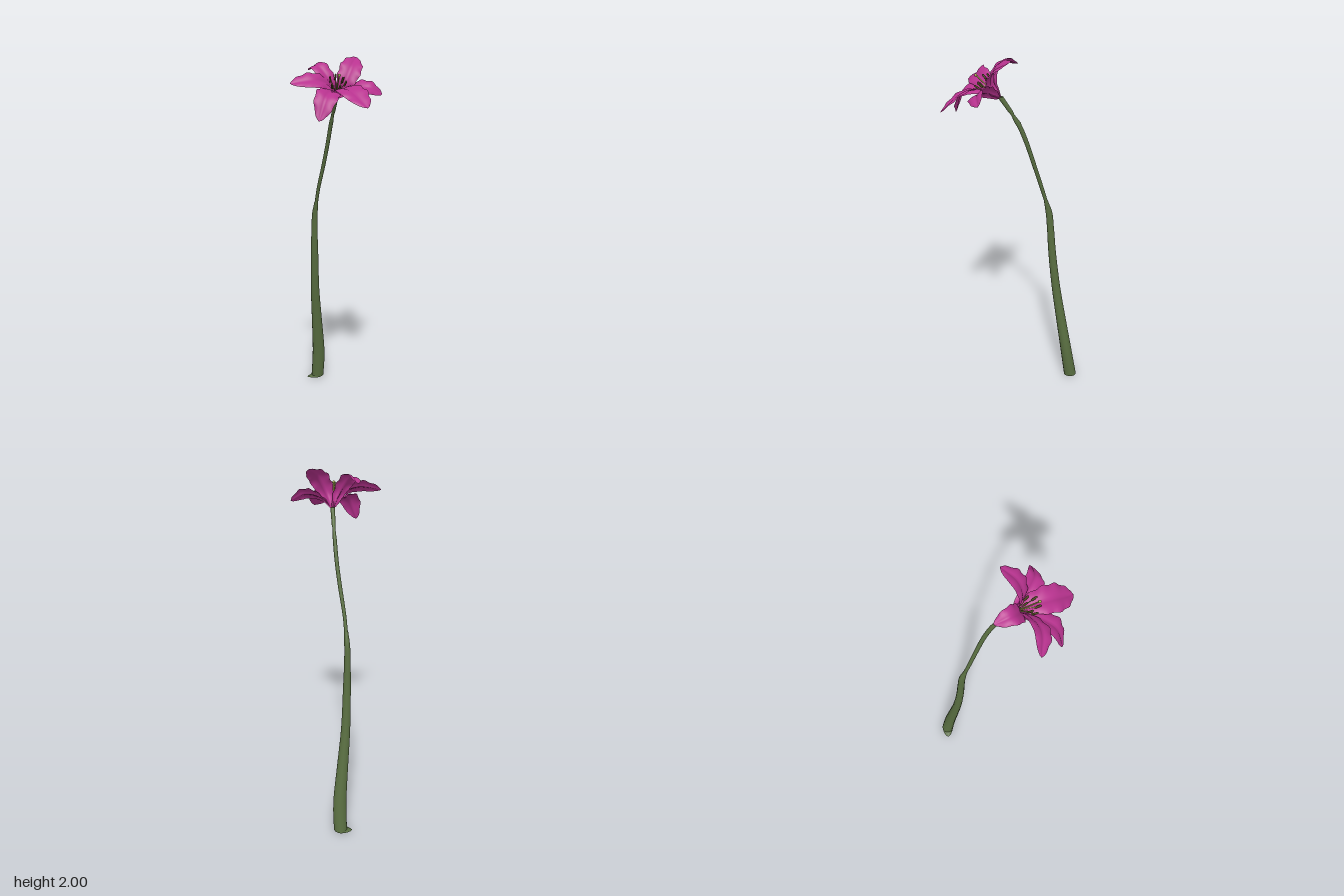
import * as THREE from 'three';

const V = (x, y, z) => new THREE.Vector3(x, y, z);

// Smooth surface from a rule f(u, v) -> Vector3; wrap closes it around v
function surface(nu, nv, f, wrap = false) {
  const cols = wrap ? nv : nv + 1, pos = [], idx = [];
  for (let i = 0; i <= nu; i++)
    for (let j = 0; j < cols; j++) pos.push(...f(i / nu, j / nv).toArray());
  for (let i = 0; i < nu; i++)
    for (let j = 0; j < nv; j++) {
      const k = (j + 1) % cols;
      const a = i * cols + j, b = i * cols + k, c = a + cols, d = b + cols;
      idx.push(a, c, b, b, c, d);
    }
  const g = new THREE.BufferGeometry();
  g.setAttribute('position', new THREE.Float32BufferAttribute(pos, 3));
  g.setIndex(idx);
  g.computeVertexNormals();
  return g;
}

export function createModel() {
  const group = new THREE.Group();
  group.name = 'lilyFlower';
  const mat = (name, color, side = THREE.FrontSide) => {
    const m = new THREE.MeshStandardMaterial({ color, side });
    m.name = name;
    return m;
  };
  const green = mat('stemGreen', 0x586d40, THREE.DoubleSide);
  const pink = mat('petalMagenta', 0xb8338f, THREE.DoubleSide);
  const lime = mat('styleYellowGreen', 0x9ca64a);
  const brown = mat('antherBrown', 0x4e4722);
  const add = (name, geo, material, parent = group) => {
    const m = new THREE.Mesh(geo, material);
    m.name = name;
    parent.add(m);
    return m;
  };

  // Lofted stem: each ring is x, y, z, half width, half depth
  const loft = (rings, steps) => {
    const path = new THREE.CatmullRomCurve3(rings.map(r => V(r[0], r[1], r[2])));
    const size = new THREE.CatmullRomCurve3(rings.map(r => V(r[3], r[4], 0)));
    return surface(steps, 14, (u, v) => {
      const p = path.getPoint(u), s = size.getPoint(u), a = v * Math.PI * 2;
      return V(p.x + Math.cos(a) * s.x, p.y, p.z + Math.sin(a) * s.y);
    }, true);
  };
  add('lowerStem', loft([
    [0.087, 0.012, -0.347, 0.038, 0.037],
    [0.087, 0.1, -0.332, 0.039, 0.035],
    [0.083, 0.2, -0.316, 0.038, 0.033],
    [0.061, 0.4, -0.285, 0.032, 0.029],
    [0.037, 0.62, -0.253, 0.026, 0.025],
    [0.025, 0.85, -0.227, 0.022, 0.022],
    [0.02, 1.0, -0.215, 0.018, 0.02],
    [0.019, 1.1, -0.204, 0.016, 0.019],
    [0.021, 1.175, -0.184, 0.011, 0.011],
  ], 40), green);
  add('upperStem', loft([
    [0.021, 1.14, -0.194, 0.01, 0.01],
    [0.024, 1.25, -0.16, 0.01, 0.011],
    [0.038, 1.4, -0.11, 0.011, 0.012],
    [0.047, 1.53, -0.066, 0.011, 0.013],
    [0.048, 1.63, -0.025, 0.011, 0.014],
    [0.045, 1.71, 0.022, 0.011, 0.014],
    [0.04, 1.79, 0.075, 0.012, 0.016],
  ], 30), green);

  // Cut foot of the stem, with a small lip curling out to one side
  const foot = add('stemFoot', new THREE.CircleGeometry(0.037, 14), green);
  foot.rotation.x = Math.PI / 2;
  foot.position.set(0.087, 0.012, -0.347);
  add('footLip', surface(4, 14, (u, v) => {
    const a = v * Math.PI * 2, c = Math.cos(a);
    const out = u * (c < 0 ? 0.03 * c * c : 0);
    return V(0.087 + c * (0.038 + out), 0.012 - 0.012 * u * (0.6 - 0.4 * c),
      -0.347 - out * 0.3 + Math.sin(a) * 0.037);
  }, true), green);

  // Petals: midrib points, half width
  const base = V(0.04, 1.785, 0.08), axis = V(-0.1, 0.75, 0.65).normalize();
  const petals = [
    ['backLeftPetal', 0.045, [[-0.01, 1.87, 0.1], [-0.058, 1.95, 0.045], [-0.072, 1.93, -0.04]]],
    ['backRightPetal', 0.056, [[0.065, 1.855, 0.128], [0.11, 1.94, 0.115], [0.17, 1.998, 0.045]]],
    ['rightPetal', 0.053, [[0.09, 1.825, 0.15], [0.165, 1.835, 0.215], [0.245, 1.802, 0.22]]],
    ['frontPetal', 0.067, [[0.037, 1.825, 0.16], [0.045, 1.822, 0.26], [0.085, 1.737, 0.39]]],
    ['frontLeftPetal', 0.056, [[-0.01, 1.815, 0.15], [-0.085, 1.79, 0.25], [-0.14, 1.67, 0.285]]],
    ['leftPetal', 0.054, [[-0.03, 1.85, 0.135], [-0.125, 1.872, 0.172], [-0.246, 1.858, 0.142]]],
  ];
  const flower = new THREE.Group();
  flower.name = 'flower';
  group.add(flower);
  petals.forEach(([name, half, pts], n) => {
    const mids = pts.map(p => V(...p));
    const outward = mids[2].clone().sub(base);
    const radial = outward.clone().addScaledVector(axis, -outward.dot(axis)).normalize();
    const start = base.clone().addScaledVector(radial, 0.008);
    const curve = new THREE.CatmullRomCurve3([start, ...mids]);
    const side = radial.clone().cross(axis).normalize();
    add(name, surface(32, 12, (u, v) => {
      const s = v * 2 - 1, e = Math.abs(s);
      const w = half * Math.pow(Math.max(0, Math.sin(Math.PI * Math.pow(u, 1.35))), 0.65)
        + 0.011 * (1 - u);
      const up = side.clone().cross(curve.getTangentAt(u)).normalize();
      if (up.dot(axis) < 0) up.negate();
      // grooved midrib, raised flanks, gently ruffled edges
      const ruffle = Math.sin(u * 32 + n * 2 + s) * 0.05 * e * e;
      return curve.getPointAt(u)
        .addScaledVector(side, s * w * (1 + ruffle))
        .addScaledVector(up, w * (0.5 * e - 0.42 * e * e + ruffle));
    }), pink, flower);
  });

  // Style, stigma and a ring of six stamens
  const across = V(1, 0, 0).addScaledVector(axis, -axis.x).normalize();
  const along = axis.clone().cross(across);
  const stalk = (name, pts, r) =>
    add(name, new THREE.TubeGeometry(new THREE.CatmullRomCurve3(pts), 10, r, 6), lime, flower);
  const tip = V(0.008, 1.9, 0.195);
  stalk('style', [base, V(0.022, 1.84, 0.135), tip], 0.0038);
  const stigma = add('stigma', new THREE.SphereGeometry(0.008, 10, 8), lime, flower);
  stigma.position.copy(tip);
  const centre = V(0.014, 1.86, 0.155);
  for (let i = 0; i < 6; i++) {
    const a = (i + 0.5) * Math.PI / 3;
    const dir = across.clone().multiplyScalar(Math.cos(a)).addScaledVector(along, Math.sin(a));
    const end = centre.clone().addScaledVector(dir, 0.041).addScaledVector(axis, (i % 3) * 0.006);
    const mid = base.clone().lerp(end, 0.55).addScaledVector(dir, -0.005);
    stalk('filament', [base, mid, end], 0.002);
    const anther = add('anther', new THREE.CapsuleGeometry(0.0055, 0.028, 3, 8), brown, flower);
    anther.position.copy(end);
    anther.quaternion.setFromUnitVectors(V(0, 1, 0),
      axis.clone().addScaledVector(dir, 0.2).normalize());
  }
  return group;
}
